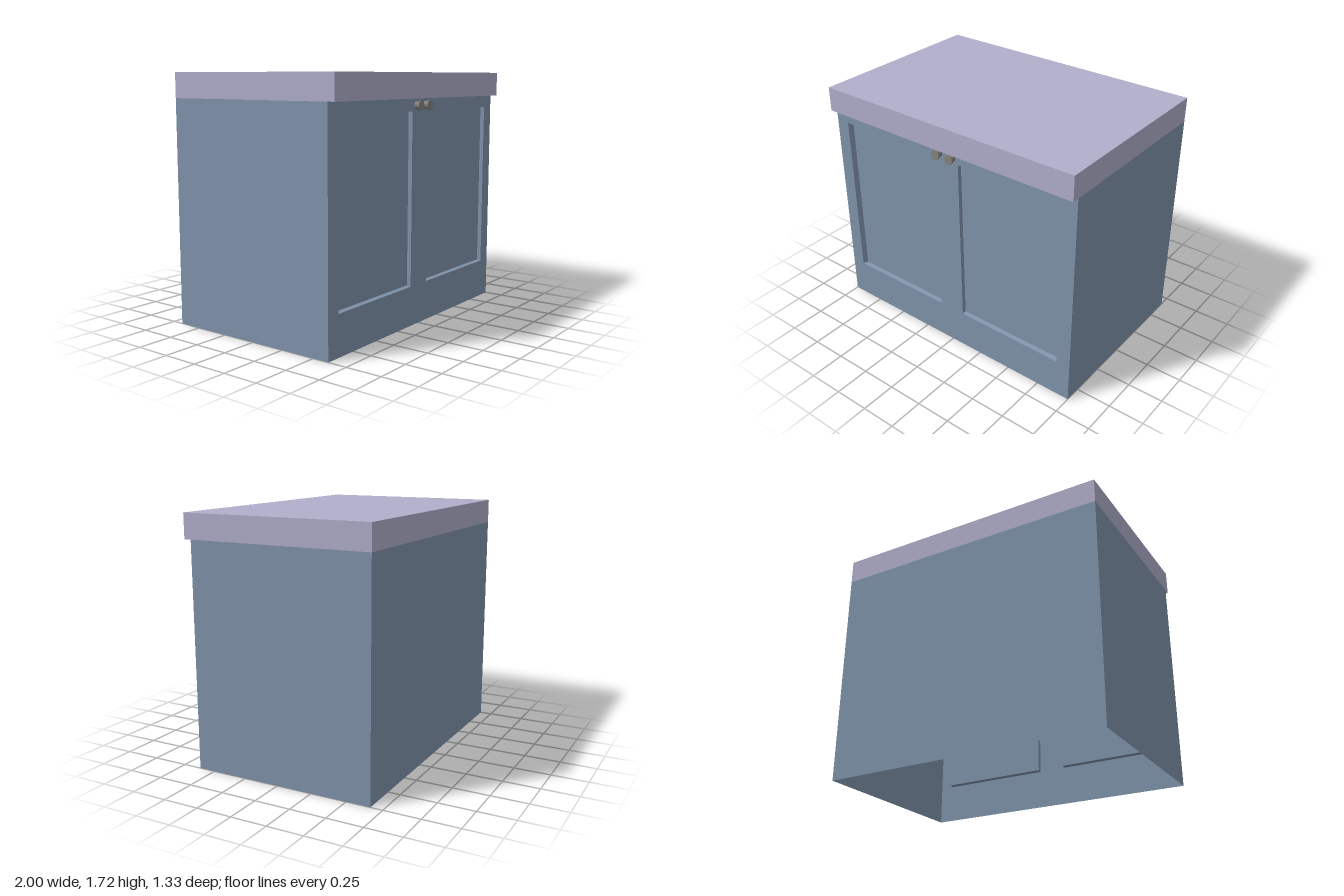
import * as THREE from 'three';
import { mergeGeometries, toCreasedNormals } from 'three/addons/utils/BufferGeometryUtils.js';

const HEIGHT = 1.545, FRONT = 0.617, BACK = -0.667, RECESS = 0.03;

// flat four-sided face, corners anticlockwise seen from outside
function quad(a, b, c, d) {
  const g = new THREE.BufferGeometry();
  g.setAttribute('position', new THREE.Float32BufferAttribute([a, b, c, a, c, d].flat(), 3));
  g.computeVertexNormals();
  return g;
}

// corners of an upright rectangle at depth z
const rect = (x0, x1, y0, y1, z) => [[x0, y0, z], [x1, y0, z], [x1, y1, z], [x0, y1, z]];

export function createModel() {
  const group = new THREE.Group();
  const add = (name, geometry, material) => {
    const mesh = new THREE.Mesh(geometry, material);
    mesh.name = name;
    group.add(mesh);
    return mesh;
  };
  const blue = new THREE.MeshStandardMaterial({ color: 0x8093ab, side: THREE.DoubleSide });
  const lilac = new THREE.MeshStandardMaterial({ color: 0xb0aecb });
  const metal = new THREE.MeshStandardMaterial({ color: 0x85827d });

  // thin cabinet walls, open underneath
  const f = rect(-1, 1, 0, HEIGHT, FRONT), b = rect(-1, 1, 0, HEIGHT, BACK);
  add('cabinetWalls', mergeGeometries([
    quad(f[1], b[1], b[2], f[2]),
    quad(b[1], b[0], b[3], b[2]),
    quad(b[0], f[0], f[3], b[3]),
  ]), blue);

  // front with two door openings, each leading to a shallow recess
  const front = new THREE.Shape(f.map(([x, y]) => new THREE.Vector2(x, y)));
  const doors = [
    { name: 'rightDoorPanel', x0: -0.9, x1: -0.1, slant: 0.02 },
    { name: 'leftDoorPanel', x0: 0.1, x1: 0.9, slant: 0 },
  ];
  for (const { name, x0, x1, slant } of doors) {
    const rim = rect(x0, x1, 0.275, 1.46, FRONT);
    const floor = rect(x0 + slant, x1, 0.281, 1.46, FRONT - RECESS);
    front.holes.push(new THREE.Path(rim.map(([x, y]) => new THREE.Vector2(x, y)).reverse()));
    const faces = [quad(...floor)];
    for (let i = 0; i < 4; i++) {
      const j = (i + 1) % 4;
      faces.push(quad(rim[i], rim[j], floor[j], floor[i]));
    }
    add(name, mergeGeometries(faces), blue);
  }
  add('cabinetFront', new THREE.ShapeGeometry(front), blue).position.z = FRONT;

  // countertop overhanging the front
  add('countertop', new THREE.BoxGeometry(2, 0.17, 1.334), lilac).position.y = HEIGHT + 0.085;

  // door knobs
  const profile = [[0.026, 0], [0.024, 0.028], [0.034, 0.031], [0.034, 0.041], [0, 0.041]]
    .map(([r, y]) => new THREE.Vector2(r, y));
  const knob = toCreasedNormals(new THREE.LatheGeometry(profile, 20), 0.6);
  for (const side of [-1, 1]) {
    const mesh = add(side < 0 ? 'rightKnob' : 'leftKnob', knob, metal);
    mesh.rotation.x = Math.PI / 2;
    mesh.position.set(side * 0.055, 1.498, FRONT);
  }
  return group;
}
